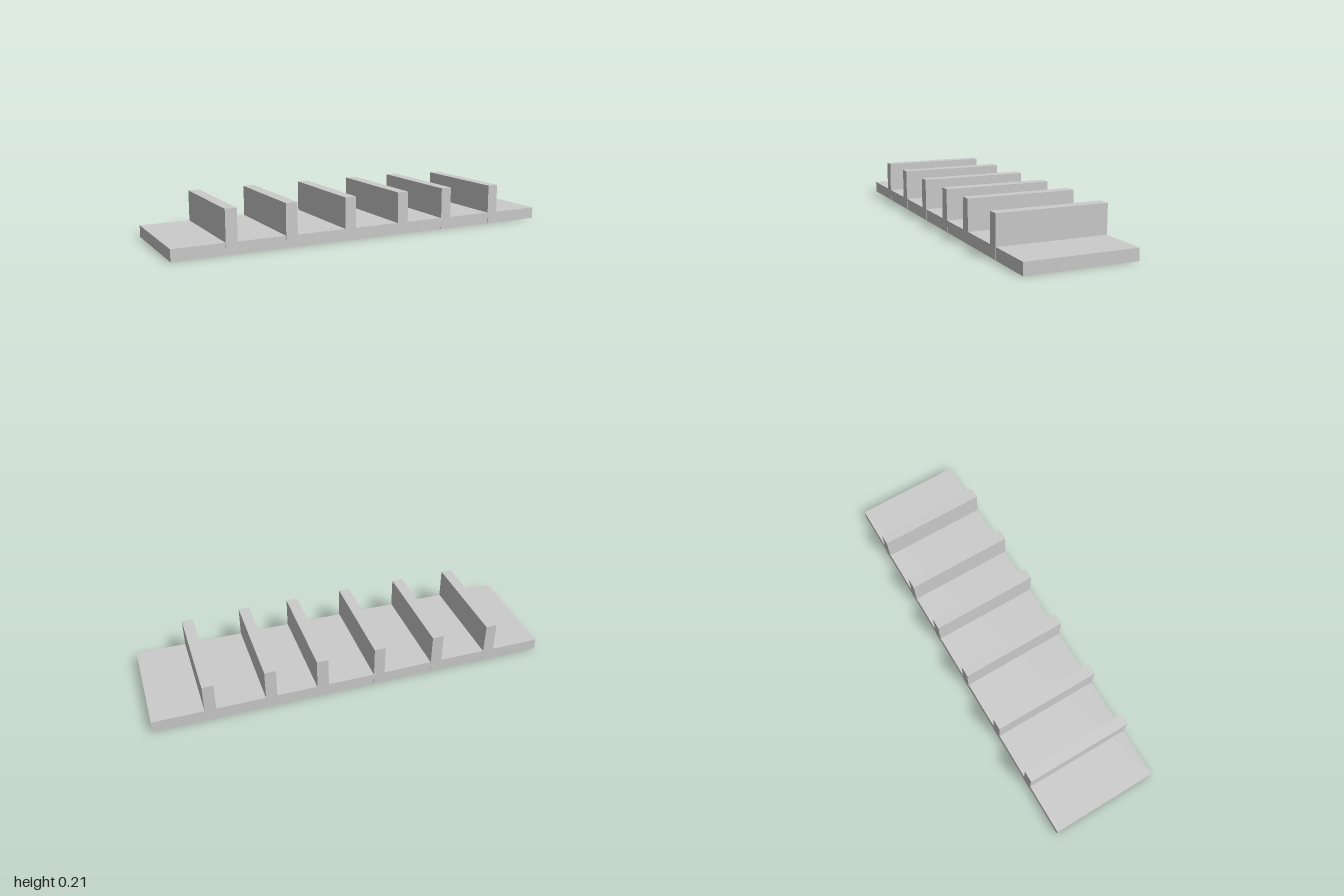
import * as THREE from 'three';

export function createModel() {
  const model = new THREE.Group();
  const material = new THREE.MeshStandardMaterial({ color: 0xcccccc, flatShading: true });

  const addBox = (name, x0, x1, y0, y1, depth) => {
    const mesh = new THREE.Mesh(new THREE.BoxGeometry(x1 - x0, y1 - y0, depth), material);
    mesh.position.set((x0 + x1) / 2, (y0 + y1) / 2, 0);
    mesh.name = name;
    model.add(mesh);
  };

  // Flat base plate
  addBox('basePlate', -1, 1, 0, 0.058, 0.542);

  // Upright dividers set through the plate: centre x, width, top height
  const dividers = [
    [-0.723, 0.056, 0.211],
    [-0.431, 0.058, 0.211],
    [-0.124, 0.056, 0.211],
    [0.168, 0.058, 0.211],
    [0.426, 0.056, 0.211],
    [0.722, 0.056, 0.202],
  ];
  dividers.forEach(([x, width, top], i) => {
    addBox(`divider${i + 1}`, x - width / 2, x + width / 2, 0.001, top, 0.545);
  });

  return model;
}
